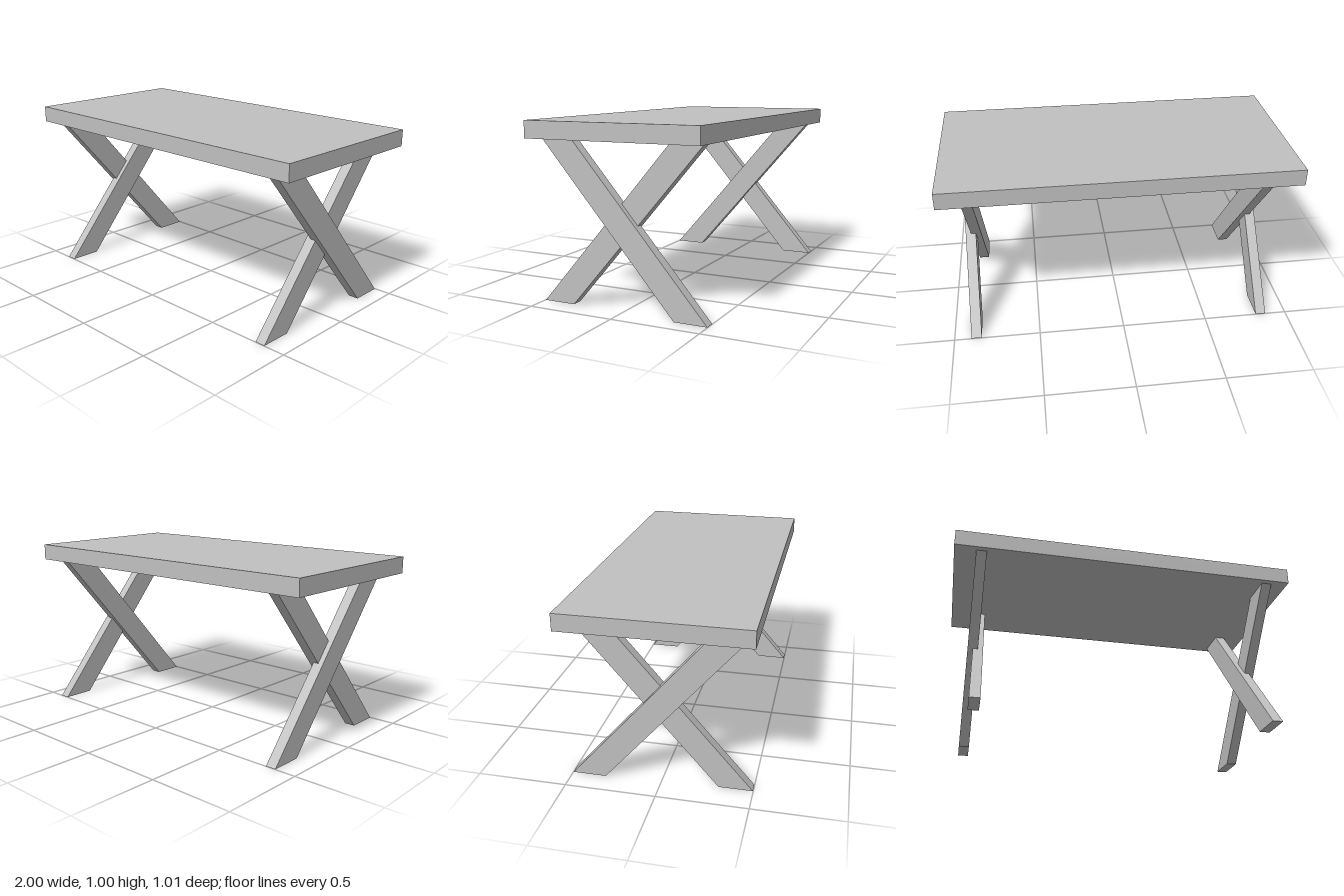
import * as THREE from 'three';

const TOP_Y = 0.905;

// Slanted plank: upper end at the front, lower end at the back; side = -1 flips it.
function makeLeg(name, x0, x1, side, material) {
  const shape = new THREE.Shape([
    [0.47, TOP_Y], [0.283, TOP_Y], [-0.498, 0], [-0.312, 0],
  ].map(([z, y]) => new THREE.Vector2(-z * side, y)));
  const geometry = new THREE.ExtrudeGeometry(shape, { depth: x1 - x0, bevelEnabled: false });
  geometry.rotateY(Math.PI / 2); // shape x becomes -z, depth becomes +x
  geometry.translate(x0, 0, 0);
  const leg = new THREE.Mesh(geometry, material);
  leg.name = name;
  return leg;
}

export function createModel() {
  const grey = new THREE.MeshStandardMaterial({ color: 0xc0c0c0 });
  grey.name = 'light grey';
  const table = new THREE.Group();
  table.name = 'table';

  // Slab top
  const top = new THREE.Mesh(new THREE.BoxGeometry(2, 1 - TOP_Y, 1.01), grey);
  top.name = 'tableTop';
  top.position.y = (1 + TOP_Y) / 2;
  table.add(top);

  // Crossed, half-lapped legs at each end; the outer plank slants from the front
  for (const [end, outer, inner] of [
    ['left', [0.842, 0.902], [0.811, 0.871]],
    ['right', [-0.877, -0.817], [-0.847, -0.787]],
  ]) {
    const trestle = new THREE.Group();
    trestle.name = end + 'Trestle';
    trestle.add(
      makeLeg(end + 'OuterLeg', ...outer, 1, grey),
      makeLeg(end + 'InnerLeg', ...inner, -1, grey),
    );
    table.add(trestle);
  }
  return table;
}
